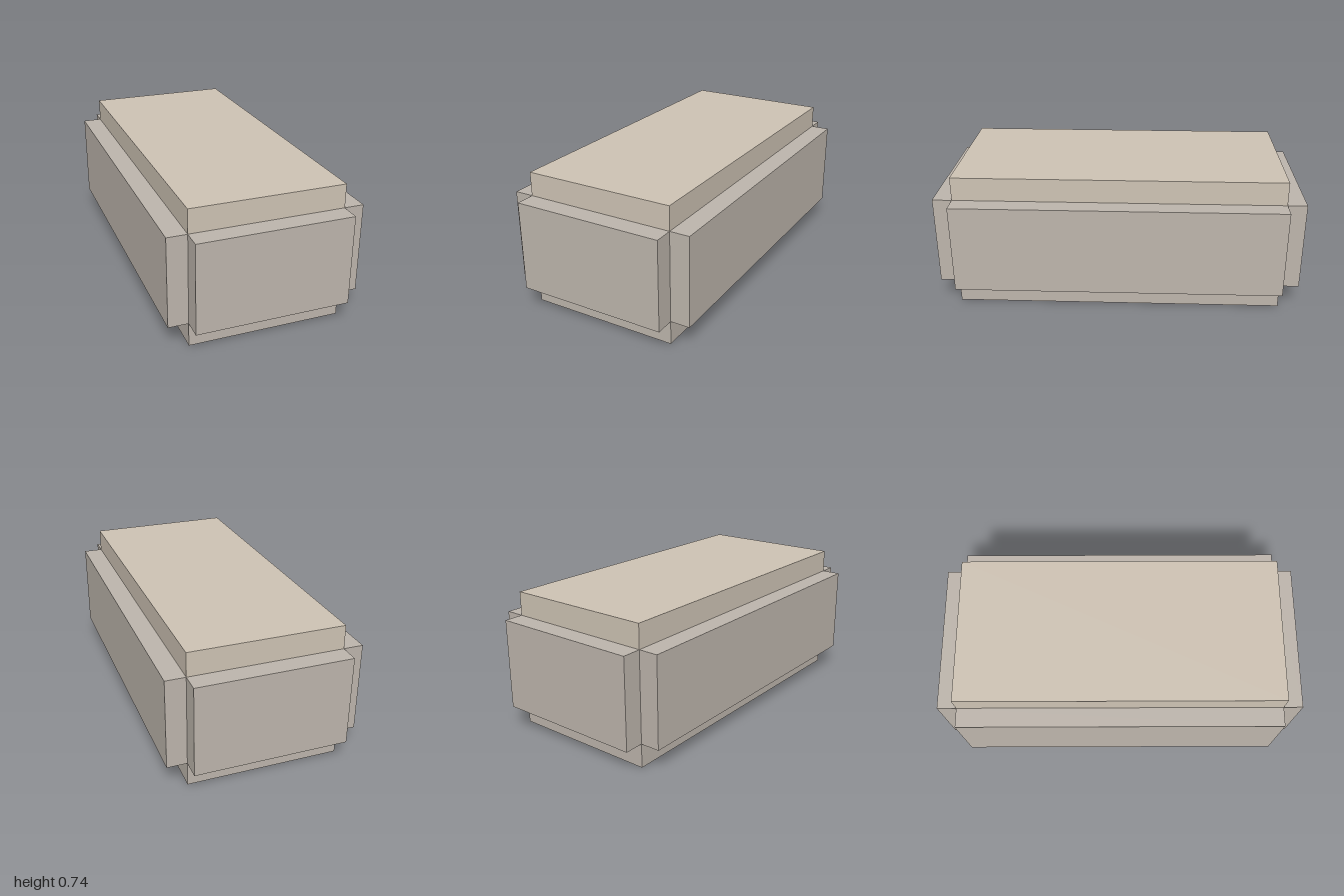
import * as THREE from 'three';

// Half extents of the core, and the panel thickness on each axis
const HALF = new THREE.Vector3(0.409, 0.243, 0.887);
const THICK = { x: 0.1055, y: 0.128, z: 0.105 };
const CENTRE_Y = 0.371;

export function createModel() {
  const model = new THREE.Group();
  model.name = 'panelledBlock';
  const light = new THREE.MeshStandardMaterial({ color: 0xcec3b4, flatShading: true });
  const grey = new THREE.MeshStandardMaterial({ color: 0xbdb5ac, flatShading: true });

  const addBox = (name, size, position, material) => {
    const mesh = new THREE.Mesh(new THREE.BoxGeometry(size.x, size.y, size.z), material);
    mesh.name = name;
    mesh.position.copy(position);
    mesh.position.y += CENTRE_Y;
    model.add(mesh);
  };

  // Central block
  const full = HALF.clone().multiplyScalar(2);
  addBox('core', full, new THREE.Vector3(), grey);

  // One raised panel on each of the six faces
  const panels = [
    ['topPanel', 'y', 1], ['bottomPanel', 'y', -1],
    ['leftPanel', 'x', 1], ['rightPanel', 'x', -1],
    ['frontPanel', 'z', 1], ['backPanel', 'z', -1],
  ];
  for (const [name, axis, sign] of panels) {
    const size = full.clone();
    size[axis] = THICK[axis];
    const position = new THREE.Vector3();
    position[axis] = sign * (HALF[axis] + THICK[axis] / 2);
    addBox(name, size, position, name === 'topPanel' ? light : grey);
  }

  // The whole block sits slightly turned
  model.rotation.y = -0.02;
  return model;
}
